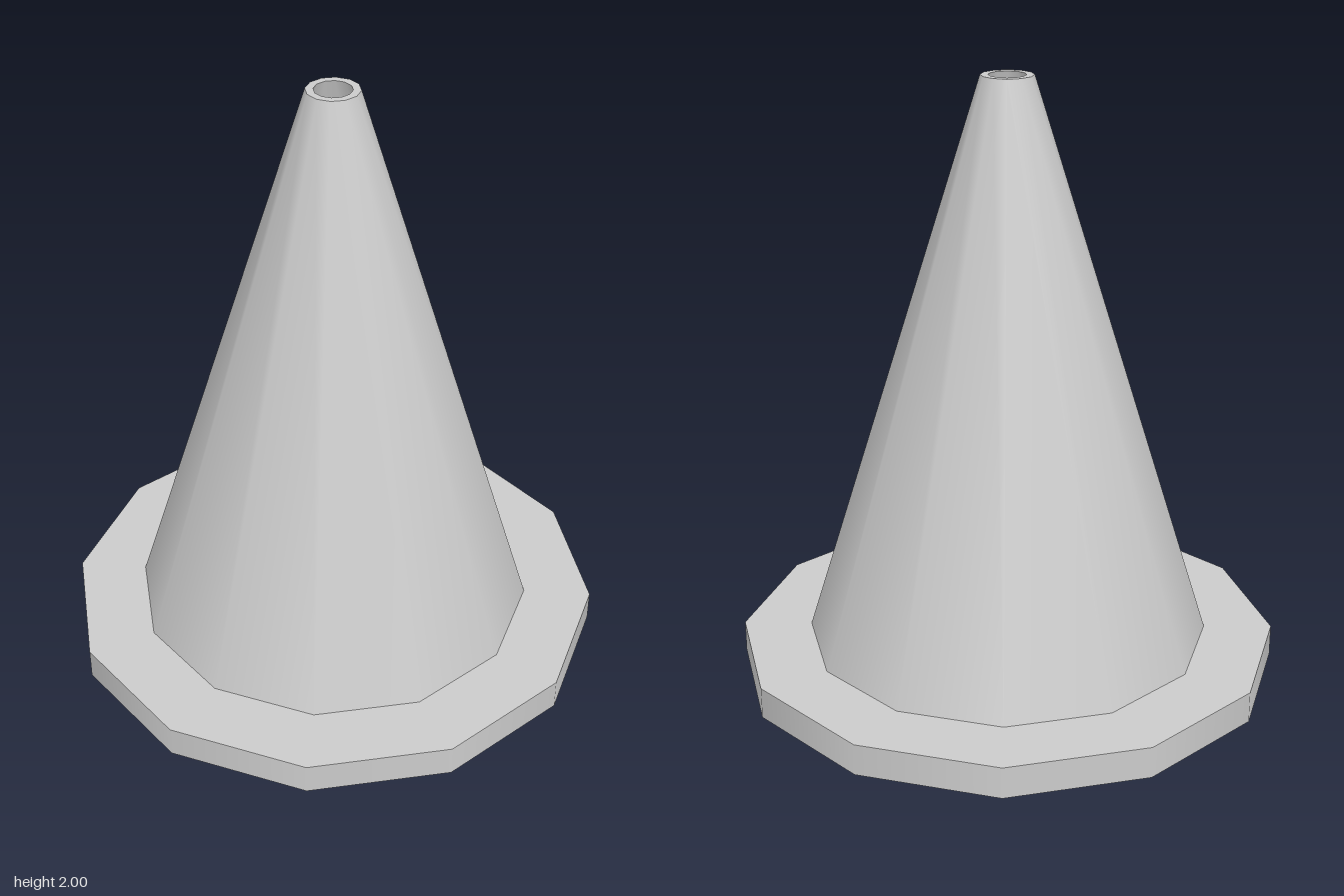
import * as THREE from 'three';
import { mergeGeometries } from 'three/addons/utils/BufferGeometryUtils.js';

const SIDES = 12;

// Revolves each profile step on its own: smooth around, sharp at profile corners.
function revolve(name, profile, material) {
  const bands = [];
  for (let i = 0; i < profile.length - 1; i++) {
    const pair = [profile[i], profile[i + 1]].map(([r, y]) => new THREE.Vector2(r, y));
    bands.push(new THREE.LatheGeometry(pair, SIDES));
  }
  const mesh = new THREE.Mesh(mergeGeometries(bands), material);
  mesh.name = name;
  return mesh;
}

export function createModel() {
  const group = new THREE.Group();
  group.name = 'trafficCone';
  const material = new THREE.MeshStandardMaterial({ color: 0xcccccc });

  // Base flange, hollowed underneath with a thin rim
  group.add(revolve('baseFlange', [
    [0.66, 0.05], [0.865, 0.05], [0.865, 0], [0.905, 0], [0.905, 0.105], [0.675, 0.105],
  ], material));

  // Hollow cone: outer wall, top lip, inner wall
  group.add(revolve('coneBody', [
    [0.675, 0.105], [0.085, 2], [0.06, 2], [0.66, 0.05],
  ], material));

  return group;
}
